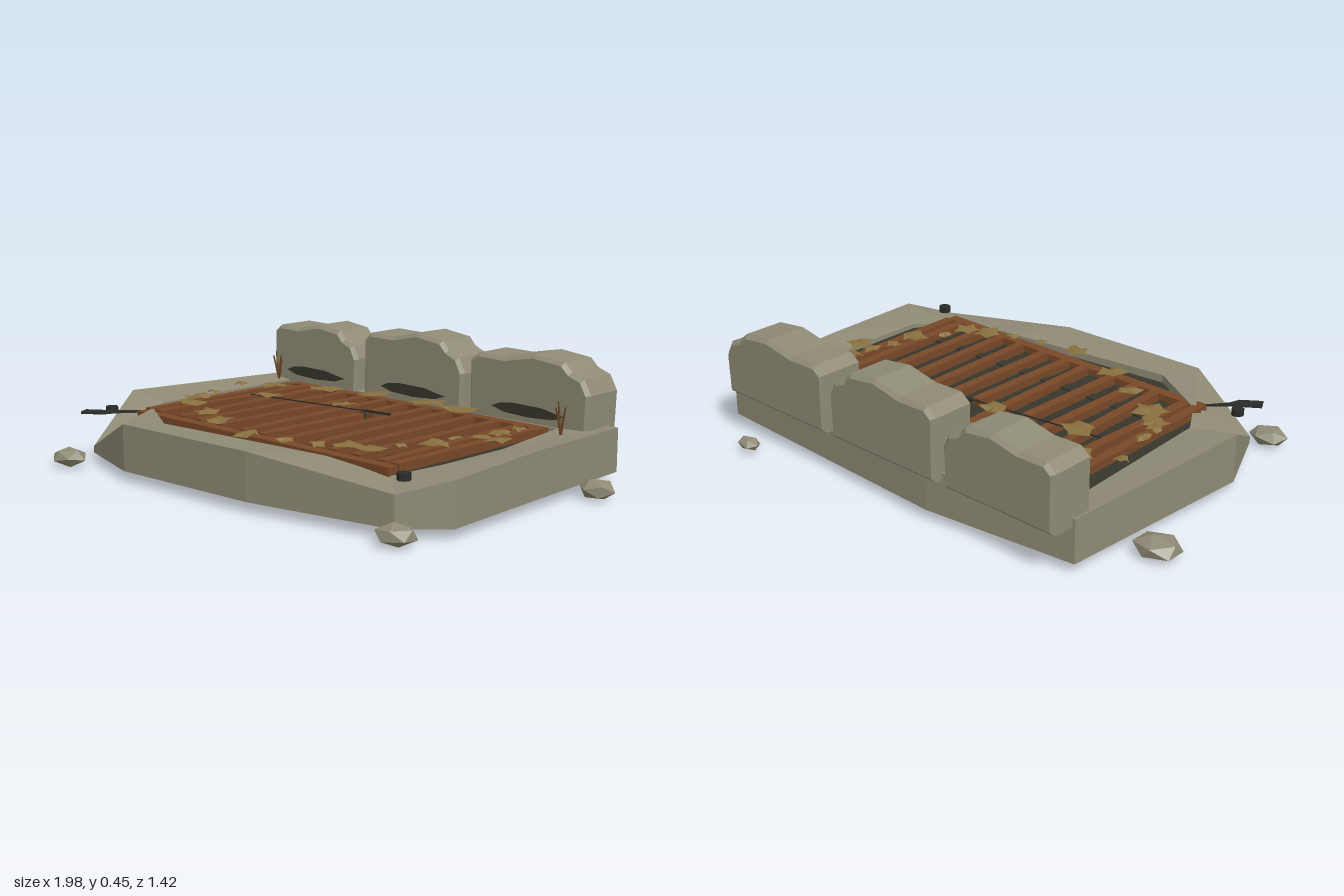
import * as THREE from 'three';

const mat = (name, color, side = THREE.FrontSide) =>
  new THREE.MeshStandardMaterial({ name, color, side, flatShading: true });

export function createModel() {
  const model = new THREE.Group();
  model.name = 'ruinedGrate';
  const stone = mat('stone', 0x8f8b76);
  const soot = mat('soot', 0x36362d, THREE.DoubleSide);
  const black = mat('pitBlack', 0x2c2d26);
  const rust = mat('rust', 0x784828);
  const leafMat = mat('dryLeaf', 0x877040, THREE.DoubleSide);
  const twigMat = mat('twig', 0x6a4824);
  const iron = mat('iron', 0x2b2c28);

  const add = (name, geo, material, x = 0, y = 0, z = 0, parent = model) => {
    const m = new THREE.Mesh(geo, material);
    m.name = name;
    m.position.set(x, y, z);
    parent.add(m);
    return m;
  };
  const box = (name, w, h, d, material, x, y, z) =>
    add(name, new THREE.BoxGeometry(w, h, d), material, x, y, z);
  const fromTriangles = (pts) => {
    const g = new THREE.BufferGeometry();
    g.setAttribute('position', new THREE.Float32BufferAttribute(pts.flat(), 3));
    g.computeVertexNormals();
    return g;
  };
  let seed = 7;
  const rnd = () => (seed = (seed * 16807) % 2147483647) / 2147483647;

  // Slab ring: outer x, z, top y, then inner x, z, top y; both front corners are broken down
  const ring = [
    [-0.79, -0.53, 0.21, -0.69, -0.44, 0.2], [-0.2, -0.6, 0.21, -0.2, -0.45, 0.2],
    [0.85, -0.56, 0.21, 0.68, -0.43, 0.2], [0.88, -0.05, 0.215, 0.74, -0.05, 0.2],
    [0.91, 0.4, 0.205, 0.74, 0.26, 0.2], [0.78, 0.53, 0.16, 0.66, 0.42, 0.178],
    [0.22, 0.63, 0.22, 0.4, 0.445, 0.205], [-0.4, 0.65, 0.22, -0.33, 0.52, 0.213],
    [-0.71, 0.55, 0.075, -0.58, 0.37, 0.212], [-0.84, 0.26, 0.23, -0.66, 0.24, 0.205],
  ];
  const slab = [], bed = [];
  const quad = (a, b, c, d) => slab.push(a, b, c, a, c, d);
  ring.forEach((p, i) => {
    const q = ring[(i + 1) % ring.length];
    const top = (r) => [r[0], r[2], r[1]], low = (r) => [r[0], 0.05, r[1]];
    const rim = (r) => [r[3], r[5], r[4]], inLow = (r) => [r[3], 0.15, r[4]];
    quad(top(p), top(q), low(q), low(p));
    quad(top(p), rim(p), rim(q), top(q));
    quad(rim(p), inLow(p), inLow(q), rim(q));
    slab.push([0, 0.05, 0], low(p), low(q));
    bed.push([0, 0.182, 0], [q[3], 0.182, q[4]], [p[3], 0.182, p[4]]);
  });
  add('slab', fromTriangles(slab), stone);
  add('sootBed', fromTriangles(bed), soot);
  box('pitBase', 1.26, 0.03, 0.81, black, 0.04, 0.042, 0.015);

  // Three weathered back stones: profile in fractions of width and height
  const profile = [[0, 0], [0, 0.82], [0.06, 0.91], [0.3, 0.9], [0.55, 1], [0.79, 0.94],
    [0.85, 0.82], [0.95, 0.74], [1, 0.55], [0.99, 0]];
  [[-0.78, -0.305, 0.445], [-0.27, 0.24, 0.467], [0.27, 0.805, 0.45]].forEach(([x0, x1, top], i) => {
    const bevel = 0.014, w = x1 - x0 - 2 * bevel, h = top - 0.18 - 2 * bevel;
    const shape = new THREE.Shape(profile.map(([u, v]) =>
      new THREE.Vector2(x0 + bevel + u * w, 0.18 + bevel + v * h)));
    add('backStone' + (i + 1), new THREE.ExtrudeGeometry(shape, {
      depth: 0.185 - 2 * bevel, bevelSize: bevel, bevelThickness: bevel, bevelSegments: 1,
    }), stone, 0, 0, -0.625 + bevel);
    // Scorch mark on the face
    const mark = [[-0.165, 0.242], [-0.13, 0.257], [-0.07, 0.265], [0.06, 0.262], [0.12, 0.25],
      [0.165, 0.243], [0.11, 0.226], [0, 0.22], [-0.11, 0.226]].map(([x, y]) => new THREE.Vector2(x, y));
    add('scorchMark' + (i + 1), new THREE.ShapeGeometry(new THREE.Shape(mark)), soot,
      (x0 + x1) / 2 + 0.01, 0, -0.436);
  });

  // Rusty grate: rails, bars and under-braces
  for (const [name, z] of [['backRail', -0.38], ['frontRail', 0.41]]) {
    box(name, 1.26, 0.043, 0.042, rust, 0.035, 0.186, z);
  }
  [-0.585, -0.515, -0.41, -0.3, -0.185, -0.07, 0.035, 0.145, 0.255, 0.365, 0.475, 0.585, 0.65]
    .forEach((x, i) => {
      const bar = (z0, z1, tilt) => {
        box('grateBar', 0.037, 0.035, z1 - z0, rust, x, 0.195, (z0 + z1) / 2).rotation.y = tilt;
      };
      const tilt = i === 0 || i === 12 ? 0 : (rnd() - 0.5) * 0.08;
      if (i === 6) {
        bar(-0.35, -0.15, 0.06);
        bar(-0.1, 0.385, -0.02);
      } else bar(-0.35, 0.385, tilt);
    });
  for (const z of [-0.19, 0.24]) box('underBrace', 1.2, 0.008, 0.04, soot, 0.035, 0.184, z);
  box('thinRod', 0.54, 0.004, 0.004, iron, -0.23, 0.217, -0.088).rotation.y = 0.14;
  box('rodTip', 0.12, 0.007, 0.01, iron, 0.09, 0.217, -0.135).rotation.y = 0.1;

  // Corner bolts and a broken iron blade
  for (const x of [-0.705, 0.76]) {
    add('bolt', new THREE.CylinderGeometry(0.023, 0.023, 0.024, 8), iron, x, 0.203, 0.465);
  }
  const blade = new THREE.Shape([[-0.75, -0.55], [-0.73, -0.59], [-0.66, -0.54], [-0.648, -0.5],
    [-0.59, -0.42], [-0.662, -0.49]].map(([x, y]) => new THREE.Vector2(x, y)));
  const bladeGeo = new THREE.ExtrudeGeometry(blade, { depth: 0.009, bevelEnabled: false });
  add('brokenBlade', bladeGeo.rotateX(-Math.PI / 2), iron, 0, 0.2, 0);

  // Dry leaves: crumpled ragged scraps scattered over the grate (x, z, radius)
  const leaves = [
    [-0.13, -0.36, 0.07], [-0.35, -0.31, 0.07], [0.13, -0.37, 0.075], [0.3, -0.37, 0.07],
    [-0.53, -0.22, 0.07], [-0.66, -0.14, 0.03], [-0.41, -0.06, 0.06], [-0.08, -0.13, 0.05],
    [-0.61, 0.04, 0.03], [-0.6, 0.12, 0.03], [-0.57, 0.16, 0.05], [-0.5, 0.23, 0.065],
    [-0.34, 0.31, 0.045], [-0.19, 0.39, 0.055], [0.04, 0.46, 0.05], [0.2, 0.43, 0.03],
    [0.32, 0.4, 0.03], [0.41, 0.355, 0.055], [0.5, 0.33, 0.05], [0.53, 0.23, 0.028],
    [0.6, 0.13, 0.055], [0.6, 0.02, 0.03], [0.64, -0.06, 0.035], [0.65, -0.15, 0.04],
    [0.66, -0.24, 0.03], [0.71, -0.06, 0.05],
  ];
  leaves.forEach(([x, z, r]) => {
    const n = 10, turn = rnd() * 6, tris = [];
    const edge = Array.from({ length: n }, (_, k) => {
      const a = turn + ((k + (rnd() - 0.5) * 0.5) / n) * Math.PI * 2;
      const d = r * (k % 2 ? 0.72 : 0.9 + rnd() * 0.35);
      return [Math.cos(a) * d, (rnd() - 0.5) * 0.014, Math.sin(a) * d];
    });
    edge.forEach((p, k) => tris.push([0, 0.006, 0], edge[(k + 1) % n], p));
    add('dryLeaf', fromTriangles(tris), leafMat, x, 0.225, z);
  });

  // Loose rocks around the slab (x, z, half width, half height, half depth)
  [[-0.91, -0.26, 0.09, 0.036, 0.076], [-0.725, 0.65, 0.076, 0.036, 0.062],
    [0.815, 0.56, 0.076, 0.036, 0.066], [0.935, -0.32, 0.066, 0.038, 0.062],
    [0.625, -0.685, 0.052, 0.024, 0.036]].forEach(([x, z, w, h, d], i) => {
    const g = new THREE.IcosahedronGeometry(1, 0);
    g.rotateZ(0.3 + i);
    g.rotateY(i * 1.3);
    g.scale(w, h, d);
    add('looseRock', g, stone, x, 0.048, z);
  });

  // Dead sprigs growing by the back stones
  [[-0.72, -0.41], [0.76, -0.345]].forEach(([x, z]) => {
    const sprig = new THREE.Group();
    sprig.name = 'deadSprig';
    sprig.position.set(x, 0.205, z);
    [[0.4, 0.115, 0.1], [1.2, 0.1, 0.24], [2.7, 0.105, 0.26], [4.6, 0.085, 0.22]]
      .forEach(([yaw, len, lean]) => {
        const g = new THREE.CylinderGeometry(0.003, 0.0055, len, 4).translate(0, len / 2, 0);
        add('stem', g, twigMat, 0, 0, 0, sprig).rotation.set(0, yaw, lean, 'YXZ');
      });
    model.add(sprig);
  });
  return model;
}
